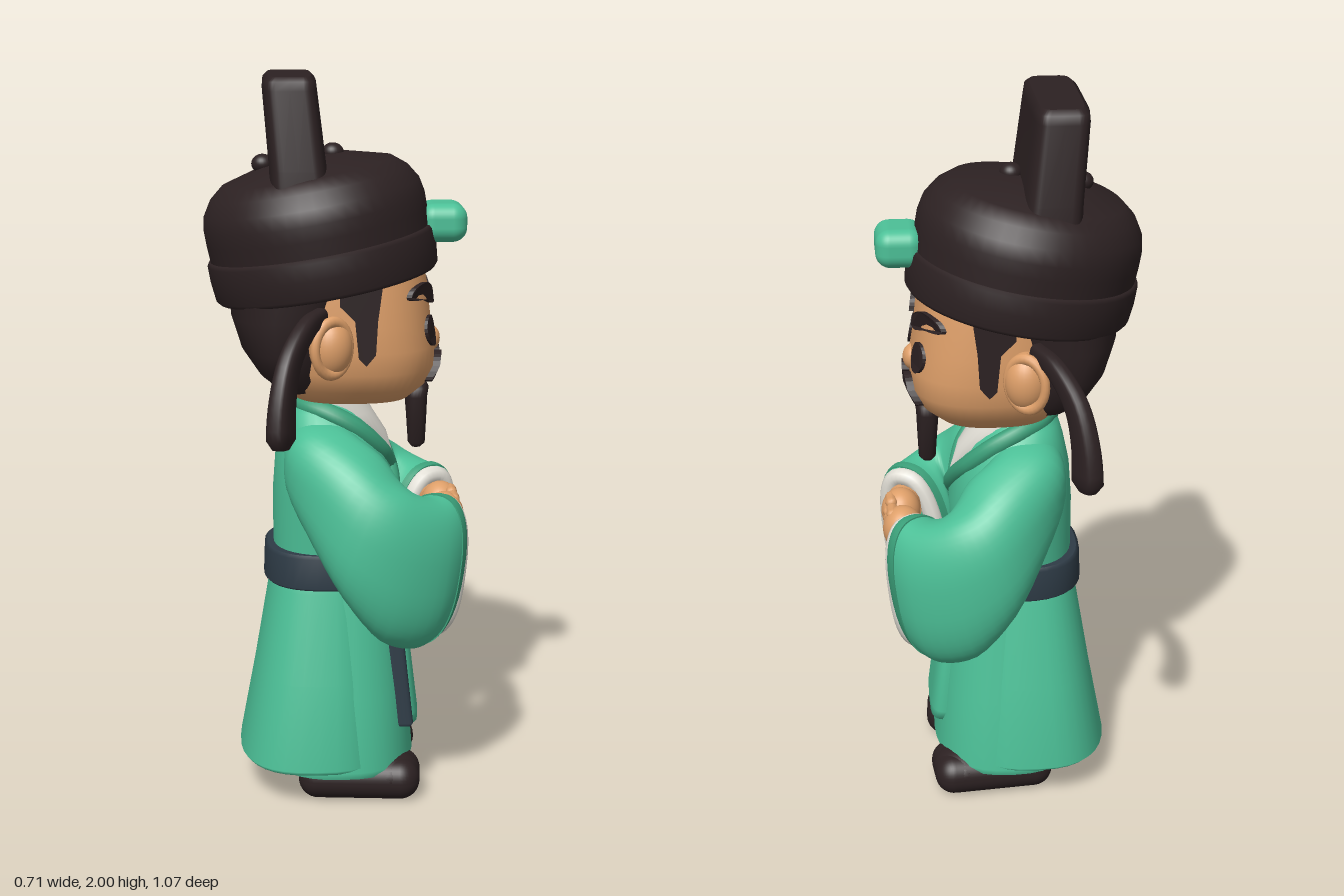
import * as THREE from 'three';
import { RoundedBoxGeometry } from 'three/addons/geometries/RoundedBoxGeometry.js';

const V = (x, y, z) => new THREE.Vector3(x, y, z);
const paint = (name, color) => {
  const m = new THREE.MeshStandardMaterial({ color });
  m.name = name;
  return m;
};

// Skin a list of rings [centre, u, v] (u x v points along the path), with flat caps.
function loft(rings, e = 2, n = 36) {
  const pos = [], idx = [];
  const sp = (a) => Math.sign(a) * Math.pow(Math.abs(a), 2 / e);
  const addRing = ([c, u, v]) => {
    for (let i = 0; i < n; i++) {
      const t = (i / n) * Math.PI * 2;
      const p = c.clone().addScaledVector(u, sp(Math.cos(t))).addScaledVector(v, sp(Math.sin(t)));
      pos.push(p.x, p.y, p.z);
    }
  };
  rings.forEach(addRing);
  for (let r = 0; r < rings.length - 1; r++) {
    for (let i = 0; i < n; i++) {
      const a = r * n + i, b = r * n + (i + 1) % n;
      idx.push(a, b, b + n, a, b + n, a + n);
    }
  }
  [rings[0], rings[rings.length - 1]].forEach((ring, k) => {
    const s = pos.length / 3;
    addRing(ring);
    pos.push(ring[0].x, ring[0].y, ring[0].z);
    for (let i = 0; i < n; i++) {
      const j = (i + 1) % n;
      if (k) idx.push(s + i, s + j, s + n); else idx.push(s + j, s + i, s + n);
    }
  });
  const g = new THREE.BufferGeometry();
  g.setAttribute('position', new THREE.Float32BufferAttribute(pos, 3));
  g.setIndex(idx);
  g.computeVertexNormals();
  return g;
}

// Resample rings along smooth curves.
function smoothRings(rings, count) {
  const curves = [0, 1, 2].map((k) => new THREE.CatmullRomCurve3(rings.map((r) => r[k])));
  return Array.from({ length: count + 1 }, (_, i) => curves.map((c) => c.getPoint(i / count)));
}

// Upright loft from rows [y, half width, back z, front z, centre x].
const stack = (rows, e, n) => loft(rows.map(([y, rx, zb, zf, cx = 0]) =>
  [V(cx, y, (zb + zf) / 2), V(rx, 0, 0), V(0, 0, -(zf - zb) / 2)]), e, n);

// Front z of a stacked form at x, y.
function frontZ(rows, e, x, y) {
  let i = 0;
  while (i < rows.length - 2 && y > rows[i + 1][0]) i++;
  const a = rows[i], b = rows[i + 1];
  const k = THREE.MathUtils.clamp((y - a[0]) / (b[0] - a[0]), 0, 1);
  const [rx, zb, zf] = [1, 2, 3].map((j) => a[j] + (b[j] - a[j]) * k);
  const q = Math.max(0, 1 - Math.pow(Math.min(1, Math.abs(x) / rx), e));
  return (zb + zf) / 2 + (zf - zb) / 2 * Math.pow(q, 1 / e);
}

function mirrored(geo) {
  const g = geo.clone();
  g.scale(-1, 1, 1);
  const src = g.index ? Array.from(g.index.array) : Array.from({ length: g.attributes.position.count }, (_, i) => i);
  for (let i = 0; i < src.length; i += 3) [src[i], src[i + 1]] = [src[i + 1], src[i]];
  g.setIndex(src);
  return g;
}

const ball = (x, y, z, rx, ry, rz) => new THREE.SphereGeometry(1, 28, 20).scale(rx, ry, rz).translate(x, y, z);

export function createModel() {
  const green = paint('robeGreen', 0x4cc097), trim = paint('collarGreen', 0x3b9f79);
  const dark = paint('darkBrown', 0x2c2122), skin = paint('skin', 0xde9f69);
  const white = paint('cuffWhite', 0xe2dfd6), navy = paint('beltNavy', 0x2e3b46);

  const figure = new THREE.Group();
  figure.name = 'figure';
  const add = (name, geo, mat, parent = figure) => {
    const m = new THREE.Mesh(geo, mat);
    m.name = name;
    parent.add(m);
    return m;
  };
  const pair = (name, geo, mat) => {
    add(name + 'Left', geo, mat);
    add(name + 'Right', mirrored(geo), mat);
  };

  // Robe: inner skirt, longer back layer, front apron, torso
  add('skirt', stack([[0.08, 0.255, -0.2, 0.21], [0.1, 0.262, -0.2, 0.217], [0.3, 0.235, -0.19, 0.2], [0.64, 0.18, -0.17, 0.165]], 2.4), green);
  add('backSkirt', stack([[0.1, 0.268, -0.265, 0.14], [0.115, 0.284, -0.276, 0.15], [0.35, 0.243, -0.232, 0.125], [0.6, 0.192, -0.19, 0.1], [0.64, 0.18, -0.175, 0.1]], 2.6), green);
  add('apron', stack([[0.175, 0.085, 0.1, 0.222], [0.185, 0.108, 0.1, 0.23], [0.22, 0.125, 0.1, 0.23], [0.4, 0.117, 0.1, 0.208], [0.63, 0.1, 0.08, 0.175]], 4), green);
  const torso = [[0.6, 0.18, -0.175, 0.16], [0.72, 0.18, -0.178, 0.16], [0.86, 0.2, -0.178, 0.165], [0.97, 0.2, -0.17, 0.14],
    [1.04, 0.17, -0.155, 0.1], [1.09, 0.13, -0.14, 0.06], [1.13, 0.08, -0.11, 0.03]];
  add('torso', stack(torso, 2.3), green);
  add('belt', stack([[0.61, 0.195, -0.198, 0.175], [0.617, 0.203, -0.205, 0.183], [0.7, 0.198, -0.202, 0.18], [0.708, 0.188, -0.194, 0.17]], 2.6), navy);
  add('sash', stack([[0.2, 0.022, 0.165, 0.205, -0.145], [0.21, 0.027, 0.16, 0.21, -0.145], [0.62, 0.022, 0.1, 0.165, -0.125]], 5), navy);

  // Crossed collar
  add('underCollar', stack([[0.94, 0.02, -0.05, 0.162], [1.02, 0.085, -0.06, 0.138], [1.08, 0.1, -0.1, 0.1], [1.14, 0.095, -0.1, 0.066]], 2), white);
  const lapel = (pts) => {
    const s = Math.sign(pts[0][0]);
    return new THREE.TubeGeometry(new THREE.CatmullRomCurve3([V(0, 1.105, -0.12), V(s * 0.08, 1.105, -0.08), V(s * 0.117, 1.09, -0.02),
      ...pts.map(([x, y]) => V(x, y, frontZ(torso, 2.3, x, y) - 0.008))]), 40, 0.027, 12);
  };
  add('lapelUnder', lapel([[-0.12, 1.05], [-0.08, 0.985], [0, 0.925]]), trim);
  add('lapelOver', lapel([[0.12, 1.05], [0.085, 0.99], [0.01, 0.925], [-0.055, 0.875], [-0.1, 0.84]]), trim);

  // Wide sleeves with hems and white cuffs
  const sleeve = smoothRings([
    [V(0.05, 0.99, -0.05), V(0, 0, -0.09), V(0, 0.09, 0)],
    [V(0.145, 0.945, -0.035), V(0.03, 0, -0.11), V(0.04, 0.115, 0.01)],
    [V(0.205, 0.875, 0.02), V(0.08, 0, -0.09), V(0.04, 0.13, 0.05)],
    [V(0.26, 0.775, 0.085), V(0.105, 0, -0.045), V(0.01, 0.165, 0.06)],
    [V(0.258, 0.7, 0.15), V(0.103, 0, 0.015), V(-0.005, 0.205, 0.045)],
    [V(0.217, 0.668, 0.21), V(0.08, 0, 0.075), V(-0.01, 0.211, 0.03)],
    [V(0.175, 0.668, 0.245), V(0.055, 0, 0.088), V(-0.005, 0.207, 0.028)],
    [V(0.153, 0.668, 0.257), V(0.047, 0, 0.084), V(0, 0.203, 0.028)]], 28);
  pair('sleeve', loft(sleeve, 2.4, 44), green);
  pair('sleeveHem', loft(sleeve.slice(-6, -1).map(([c, u, v]) => [c, u.clone().multiplyScalar(1.03), v.clone().multiplyScalar(1.02)]), 2.4, 44), trim);
  const [cc, cu, cv] = sleeve[sleeve.length - 1];
  const cuffPath = Array.from({ length: 28 }, (_, i) => {
    const t = i / 28 * Math.PI * 2, f = (a) => Math.sign(a) * Math.pow(Math.abs(a), 0.75);
    return cc.clone().addScaledVector(cu, f(Math.cos(t)) * (0.78 - 0.1 * Math.sin(t))).addScaledVector(cv, f(Math.sin(t)) * 0.88);
  });
  pair('cuff', new THREE.TubeGeometry(new THREE.CatmullRomCurve3(cuffPath, true), 72, 0.027, 10, true), white);

  // Clasped hands
  pair('wrist', new THREE.CylinderGeometry(0.045, 0.045, 0.12, 16).rotateZ(Math.PI / 2).translate(0.11, 0.785, 0.285), skin);
  pair('hand', ball(0.058, 0.788, 0.298, 0.062, 0.065, 0.056), skin);
  for (let i = 0; i < 4; i++) {
    pair('finger' + i, new THREE.CapsuleGeometry(0.017, 0.035, 4, 10).rotateZ(Math.PI / 2).translate(0.038, 0.83 - i * 0.028, 0.338 - Math.abs(i - 1.5) * 0.008), skin);
  }

  // Shoes
  pair('shoe', new RoundedBoxGeometry(0.18, 0.115, 0.34, 5, 0.055).rotateY(0.08).translate(0.15, 0.0575, 0.06), dark);
  pair('shoeToe', ball(0.155, 0.064, 0.145, 0.092, 0.062, 0.085), dark);

  // Head, ears, hair
  const head = [[1.115, 0.1, -0.08, 0.14], [1.13, 0.165, -0.12, 0.2], [1.17, 0.215, -0.15, 0.245], [1.22, 0.238, -0.17, 0.268],
    [1.28, 0.246, -0.17, 0.268], [1.35, 0.245, -0.17, 0.256], [1.45, 0.24, -0.17, 0.245], [1.54, 0.23, -0.17, 0.225]];
  add('head', stack(head, 2.6, 48), skin);
  add('neck', new THREE.CylinderGeometry(0.075, 0.08, 0.14, 20).translate(0, 1.1, -0.02), skin);
  add('nose', ball(0, 1.28, 0.257, 0.036, 0.036, 0.029), skin);
  pair('ear', ball(0.268, 1.305, -0.025, 0.055, 0.08, 0.058), skin);
  pair('earRim', new THREE.TorusGeometry(1, 0.22, 12, 28).scale(0.056, 0.07, 0.06).rotateY(0.95).translate(0.298, 1.308, -0.022), skin);
  add('hair', stack([[1.14, 0.1, -0.13, -0.02], [1.16, 0.165, -0.17, -0.02], [1.2, 0.215, -0.215, -0.02], [1.27, 0.242, -0.262, -0.01],
    [1.36, 0.255, -0.29, 0.02], [1.5, 0.262, -0.3, 0.08]], 2.5), dark);
  const burn = new THREE.Shape([[0.0, 1.52], [0.0, 1.41], [0.04, 1.37], [0.05, 1.27], [0.07, 1.25], [0.095, 1.28], [0.1, 1.37], [0.12, 1.52]].map(([z, y]) => new THREE.Vector2(-z, y)));
  pair('sideburn', new THREE.ExtrudeGeometry(burn, { depth: 0.04, bevelEnabled: false }).rotateY(Math.PI / 2).translate(0.213, 0, 0), dark);

  // Face details, bent onto the head
  const decal = (pts, depth, smooth) => {
    const v = pts.map(([x, y]) => new THREE.Vector2(x, y));
    const shape = smooth ? new THREE.Shape(new THREE.SplineCurve([...v, v[0]]).getPoints(30).slice(0, -1)) : new THREE.Shape(v);
    const g = new THREE.ExtrudeGeometry(shape, { depth: depth + 0.02, bevelEnabled: false }).translate(0, 0, -0.02);
    const p = g.attributes.position;
    for (let i = 0; i < p.count; i++) p.setZ(i, p.getZ(i) + frontZ(head, 2.6, p.getX(i), p.getY(i)));
    g.computeVertexNormals();
    return g;
  };
  pair('eye', decal(Array.from({ length: 24 }, (_, i) => [0.118 + 0.039 * Math.cos(i * Math.PI / 12), 1.322 + 0.042 * Math.sin(i * Math.PI / 12)]), 0.008), dark);
  pair('eyebrow', decal([[0.05, 1.392], [0.1, 1.395], [0.155, 1.412], [0.203, 1.418], [0.188, 1.448], [0.13, 1.455], [0.065, 1.425]], 0.014, true), dark);
  pair('moustache', decal([[0.015, 1.235], [0.045, 1.254], [0.088, 1.236], [0.112, 1.184], [0.085, 1.18], [0.06, 1.202], [0.03, 1.21]], 0.02, true), dark);
  add('beard', stack([[0.972, 0.014, 0.21, 0.235], [0.985, 0.027, 0.2, 0.247], [1.06, 0.045, 0.195, 0.25], [1.12, 0.054, 0.19, 0.252], [1.145, 0.052, 0.19, 0.256], [1.156, 0.038, 0.19, 0.25]], 2.8), dark);

  // Tilted hat with a shallow band
  const hat = new THREE.Group();
  hat.name = 'hat';
  hat.position.set(0, 1.435, -0.025);
  hat.rotation.x = -0.18;
  figure.add(hat);
  const lathe = (pts) => new THREE.LatheGeometry(pts.map(([x, y]) => new THREE.Vector2(x, y)), 48);
  add('hatBand', lathe([[0, 0.02], [0.28, 0.01], [0.3, 0], [0.308, 0.01], [0.313, 0.06], [0.313, 0.105], [0.307, 0.115], [0.29, 0.118]]), dark, hat);
  add('hatCrown', lathe([[0.302, 0.1], [0.305, 0.16], [0.305, 0.2], [0.297, 0.24], [0.272, 0.28], [0.235, 0.31], [0.12, 0.342], [0, 0.352]]), dark, hat);
  add('hatPlate', stack([[1.68, 0.242, -0.18, -0.015], [1.76, 0.235, -0.183, -0.03], [1.965, 0.208, -0.2, -0.055], [1.988, 0.2, -0.198, -0.058], [2.0, 0.18, -0.185, -0.07]], 6, 48), dark);
  [[-0.2, 1.76], [-0.01, 1.79]].forEach(([z, y]) => add('hatKnob', ball(0, y, z, 0.03, 0.026, 0.03), dark));
  add('hatJewel', new RoundedBoxGeometry(0.16, 0.105, 0.13, 5, 0.04).translate(0, 1.603, 0.288), green);

  // Drooping hat ribbons
  const path = new THREE.CatmullRomCurve3([V(0.27, 1.39, -0.05), V(0.36, 1.372, -0.09), V(0.44, 1.3, -0.135), V(0.478, 1.2, -0.155), V(0.49, 1.085, -0.16)]);
  const flat = V(0.43, 0, 0.9).normalize();
  const ribbon = Array.from({ length: 19 }, (_, i) => {
    const t = i / 18, end = t > 0.93 ? Math.sqrt(Math.max(0.3, 1 - ((t - 0.93) / 0.07) ** 2)) : 1;
    const w = flat.clone().cross(path.getTangent(t)).normalize();
    return [path.getPoint(t), w.multiplyScalar((0.022 + 0.031 * t) * end), flat.clone().multiplyScalar((0.02 + 0.012 * t) * end)];
  });
  pair('hatRibbon', loft(ribbon, 2.8, 20), dark);

  // The figure looks along +x
  figure.rotation.y = Math.PI / 2;
  const model = new THREE.Group();
  model.name = 'robedOfficial';
  model.add(figure);
  return model;
}
